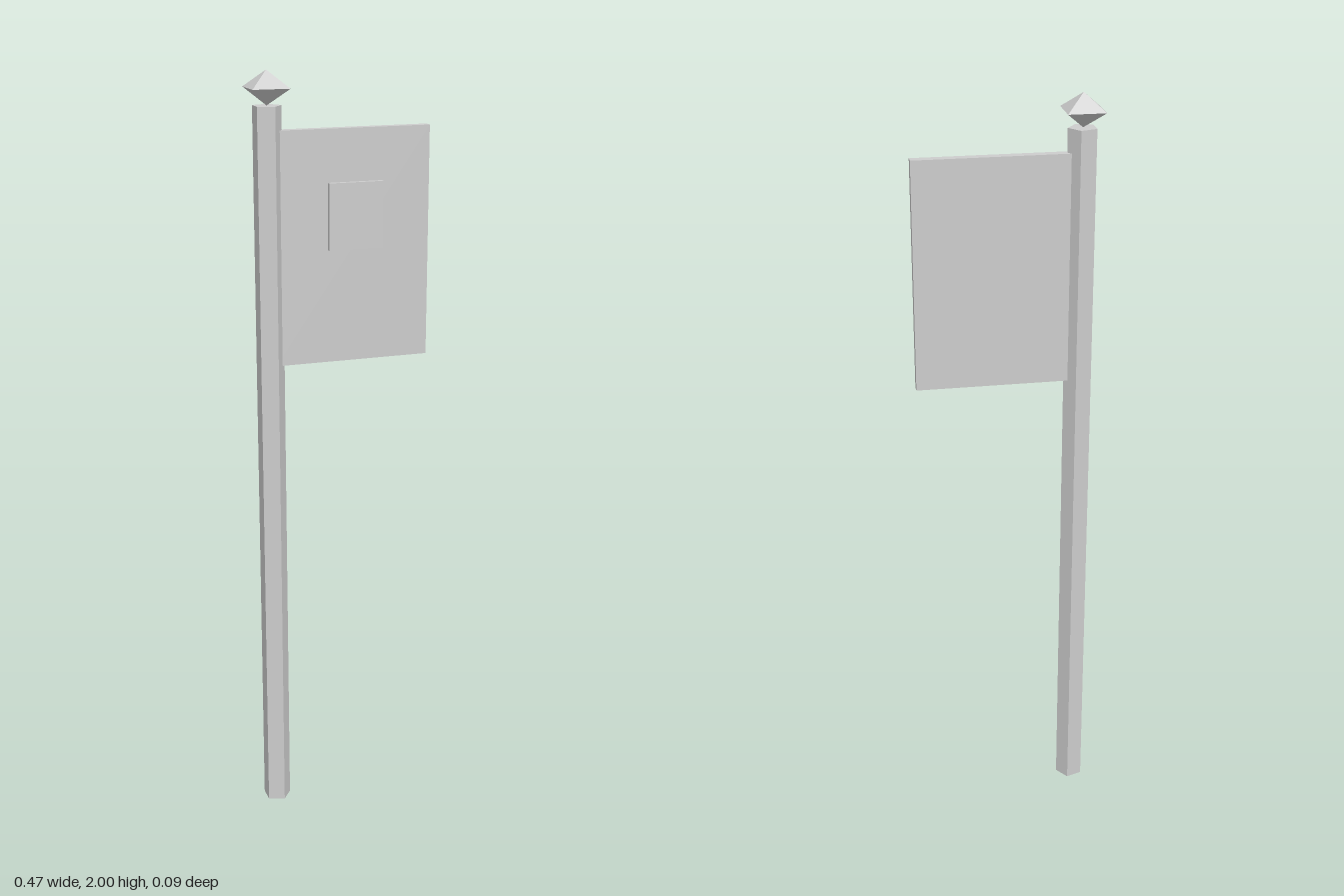
import * as THREE from 'three';

export function createModel() {
  const group = new THREE.Group();
  const paleGrey = new THREE.MeshStandardMaterial({ color: 0xcccccc, flatShading: true });
  paleGrey.name = 'pale grey';

  const add = (name, geometry, x, y, z) => {
    const mesh = new THREE.Mesh(geometry, paleGrey);
    mesh.name = name;
    mesh.position.set(x, y, z);
    group.add(mesh);
  };

  const postX = -0.188;
  const postTop = 1.915;

  // Five-sided post with one corner pointing along the sign
  const post = new THREE.CylinderGeometry(0.0378, 0.0378, postTop, 5).rotateY(Math.PI / 2);
  add('post', post, postX, postTop / 2, 0);

  // Diamond finial, square in plan, balanced on the post
  const halfWidth = 0.0475;
  const halfHeight = (2 - postTop) / 2;
  const finial = new THREE.OctahedronGeometry(1)
    .rotateY(Math.PI / 4)
    .scale(halfWidth * Math.SQRT2, halfHeight, halfWidth * Math.SQRT2);
  add('finial', finial, postX, postTop + halfHeight, 0);

  // Sign board, its inner end sunk into the post
  const left = -0.175, right = 0.235, bottom = 1.26, top = 1.855;
  add('signBoard', new THREE.BoxGeometry(right - left, top - bottom, 0.024),
    (left + right) / 2, (bottom + top) / 2, 0);

  // Raised panel on the front of the board
  add('raisedPanel', new THREE.BoxGeometry(0.143, 0.17, 0.0165), 0.036, 1.637, 0.0162);

  return group;
}
